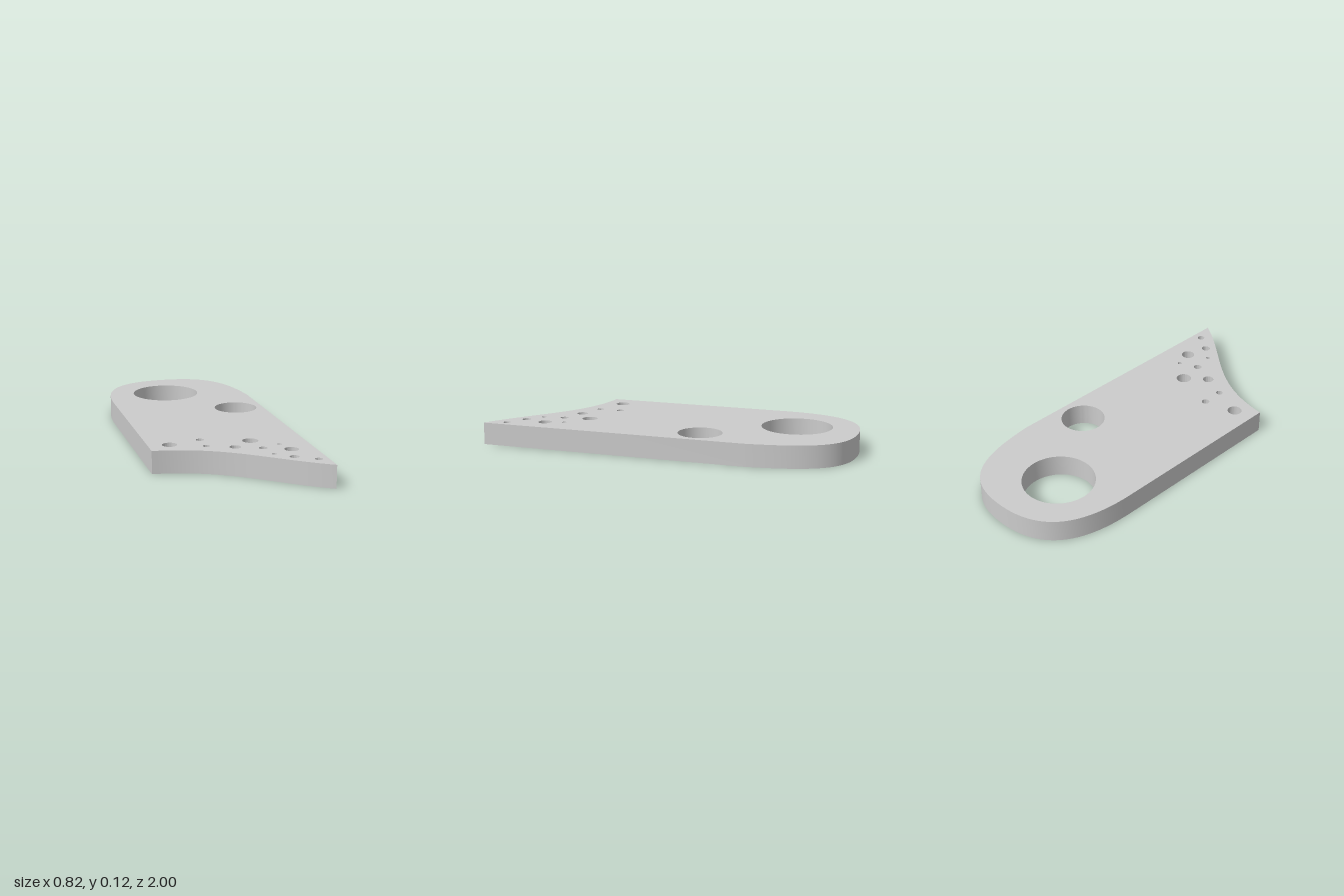
import * as THREE from 'three';
import { toCreasedNormals } from 'three/addons/utils/BufferGeometryUtils.js';

const THICKNESS = 0.122;

// Round holes through the plate: x, z, radius
const LARGE_HOLES = [
  [-0.057, -0.655, 0.193],
  [0.252, -0.2, 0.12],
];
const SMALL_HOLES = [
  [-0.295, 0.453, 0.039], [-0.121, 0.402, 0.021], [-0.118, 0.523, 0.019],
  [0.128, 0.486, 0.042], [0.02, 0.578, 0.03], [0.152, 0.63, 0.022],
  [0.255, 0.585, 0.012], [0.284, 0.688, 0.037], [0.173, 0.746, 0.012],
  [0.255, 0.815, 0.024], [0.358, 0.884, 0.02],
];

// Plan outline, drawn with shape y = -z
function plateOutline() {
  const s = new THREE.Shape();
  s.moveTo(-0.408, -0.54);
  // sweeping S-curve along the front edge
  s.bezierCurveTo(-0.02, -0.57, 0.12, -0.83, 0.408, -1);
  // straight left side, then the rounded back end
  s.lineTo(0.408, 0.48);
  s.bezierCurveTo(0.375, 0.85, 0.28, 1, 0.01, 1);
  s.bezierCurveTo(-0.29, 1, -0.408, 0.82, -0.408, 0.48);
  s.closePath();
  return s;
}

export function createModel() {
  const shape = plateOutline();
  for (const [x, z, r] of [...LARGE_HOLES, ...SMALL_HOLES]) {
    shape.holes.push(new THREE.Path().absarc(x, -z, r, 0, Math.PI * 2, true));
  }

  // Extrude upwards from the ground
  const geometry = new THREE.ExtrudeGeometry(shape, {
    depth: THICKNESS, bevelEnabled: false, curveSegments: 40,
  });
  geometry.rotateX(-Math.PI / 2);

  const plate = new THREE.Mesh(
    toCreasedNormals(geometry, 0.5),
    new THREE.MeshStandardMaterial({ color: 0xcccccc }),
  );
  plate.name = 'perforatedPlate';

  const model = new THREE.Group();
  model.name = 'plateModel';
  model.add(plate);
  return model;
}
